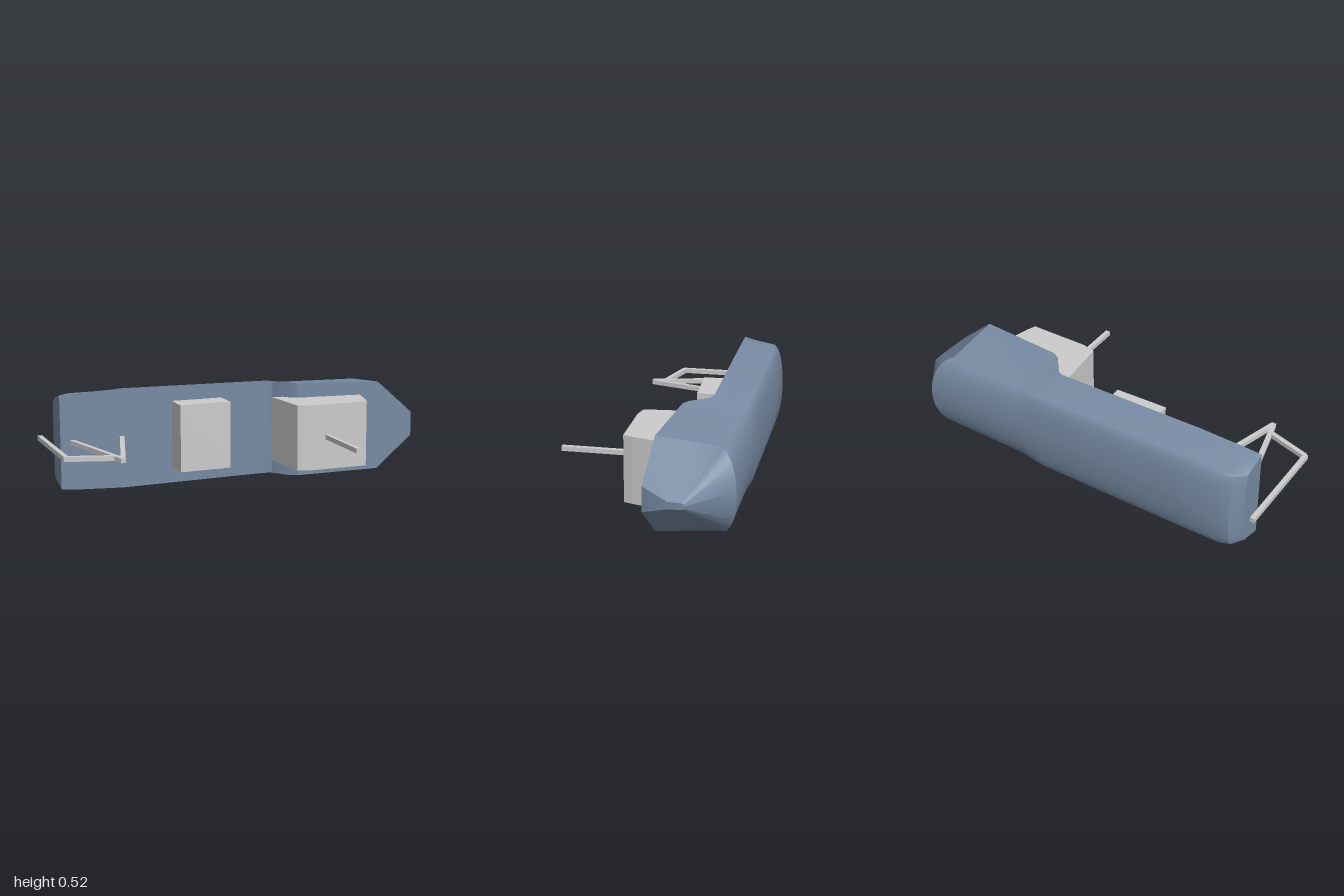
import * as THREE from 'three';
import { toCreasedNormals } from 'three/addons/utils/BufferGeometryUtils.js';

const MID = 0.26; // height of the centreline: the boat lies on its side, deck facing +z
const ARC = 10;   // segments of each rounded bilge

// Half section, deck edge to keel: [x, half width, z]
function halfSection([x, wDeck, zDeck, wBilge, zBilge, zKeel, rake = 0]) {
  const pts = [
    [x, wDeck, zDeck],
    [x, THREE.MathUtils.lerp(wDeck, wBilge, 0.5), THREE.MathUtils.lerp(zDeck, zBilge, 0.5)],
  ];
  for (let k = 0; k <= ARC; k++) {
    const t = (k / ARC) * Math.PI / 2;
    const w = k === ARC ? 0 : wBilge * Math.cos(t);
    pts.push([x + rake * Math.sin(t), w, zBilge + (zKeel - zBilge) * Math.sin(t)]);
  }
  return pts;
}

function hullGeometry() {
  // x, deck half width, deck z, bilge half width, bilge z, keel z, forward rake of keel
  const stations = [
    [-0.925, 0.237, -0.24, 0.205, -0.36, -0.38],
    [-0.88, 0.242, -0.242, 0.215, -0.408, -0.45],
    [-0.83, 0.246, -0.244, 0.22, -0.42, -0.468],
    [-0.6, 0.258, -0.25, 0.222, -0.42, -0.468],
    [0.18, 0.249, -0.25, 0.216, -0.42, -0.468],
    [0.22, 0.248, -0.232, 0.215, -0.414, -0.468],
    [0.28, 0.247, -0.145, 0.213, -0.398, -0.468],
    [0.32, 0.246, -0.12, 0.212, -0.39, -0.468],
    [0.76, 0.235, -0.077, 0.205, -0.38, -0.468, 0.09],
  ];
  const halves = stations.map(halfSection);
  // Narrow stem
  const stem = [[0.95, 0.063, -0.055], [1, 0.018, -0.18]];
  for (let k = 0; k <= ARC; k++) {
    const t = (k / ARC) * Math.PI / 2;
    stem.push([1, k === ARC ? 0 : 0.016 * Math.cos(t), -0.24 - 0.02 * Math.sin(t)]);
  }
  halves.push(stem);

  const rings = halves.map((h) => [
    ...h.map(([x, w, z]) => [x, MID + w, z]),
    ...h.slice(0, -1).reverse().map(([x, w, z]) => [x, MID - w, z]),
  ]);
  const n = rings[0].length;
  const pos = [];
  const quad = (a, b, c, d) => pos.push(...a, ...b, ...c, ...a, ...c, ...d);
  for (let s = 0; s < rings.length - 1; s++) {
    for (let i = 0; i < n; i++) {
      const j = (i + 1) % n; // the closing strip is the deck
      quad(rings[s][i], rings[s + 1][i], rings[s + 1][j], rings[s][j]);
    }
  }
  // Transom and stem faces
  const first = rings[0], last = rings[rings.length - 1];
  for (let i = 0; i < (n - 1) / 2; i++) {
    quad(first[i], first[i + 1], first[n - 2 - i], first[n - 1 - i]);
    quad(last[n - 1 - i], last[n - 2 - i], last[i + 1], last[i]);
  }
  const g = new THREE.BufferGeometry();
  g.setAttribute('position', new THREE.Float32BufferAttribute(pos, 3));
  return toCreasedNormals(g, 0.45);
}

// Deckhouse: a side profile in [x, z], extruded across the beam
function houseGeometry(profile, yMin, yMax) {
  const shape = new THREE.Shape(profile.map(([x, z]) => new THREE.Vector2(x, -z)));
  const g = new THREE.ExtrudeGeometry(shape, { depth: yMax - yMin, bevelEnabled: false });
  return g.rotateX(-Math.PI / 2).translate(0, yMin, 0);
}

export function createModel() {
  const group = new THREE.Group();
  const blue = new THREE.MeshStandardMaterial({ color: 0x778ba3 });
  const grey = new THREE.MeshStandardMaterial({ color: 0xcccccc });
  const add = (name, geometry, material = grey) => {
    const mesh = new THREE.Mesh(geometry, material);
    mesh.name = name;
    group.add(mesh);
    return mesh;
  };

  // Square bar between two [x, z] points on the centreline
  const bar = (name, [x1, z1], [x2, z2], size = 0.024) => {
    const length = Math.hypot(x2 - x1, z2 - z1);
    const mesh = add(name, new THREE.BoxGeometry(size, size, length));
    mesh.position.set((x1 + x2) / 2, MID, (z1 + z2) / 2);
    mesh.rotation.y = Math.atan2(x2 - x1, z2 - z1);
  };

  add('hull', hullGeometry(), blue);

  // Deckhouses
  add('wheelhouse', houseGeometry(
    [[0.2, -0.192], [0.225, 0.088], [0.25, 0.098], [0.3, 0.107], [0.605, 0.107], [0.622, 0.06], [0.665, -0.11], [0.3, -0.165]],
    0.092, 0.43));
  add('hatchHouse', houseGeometry(
    [[-0.333, -0.26], [-0.333, -0.113], [-0.06, -0.121], [-0.06, -0.26]],
    0.088, 0.435));

  // Mast and stern gantry
  bar('mast', [0.385, 0.09], [0.385, 0.467]);
  bar('gantryLegAft', [-0.866, -0.255], [-0.745, 0.25]);
  bar('gantryLegForward', [-0.6, -0.255], [-0.745, 0.25]);
  bar('gantryBoom', [-0.75, 0.185], [-0.988, 0.115]);
  bar('hangingPole', [-0.988, 0.12], [-0.988, -0.42]);

  return group;
}
